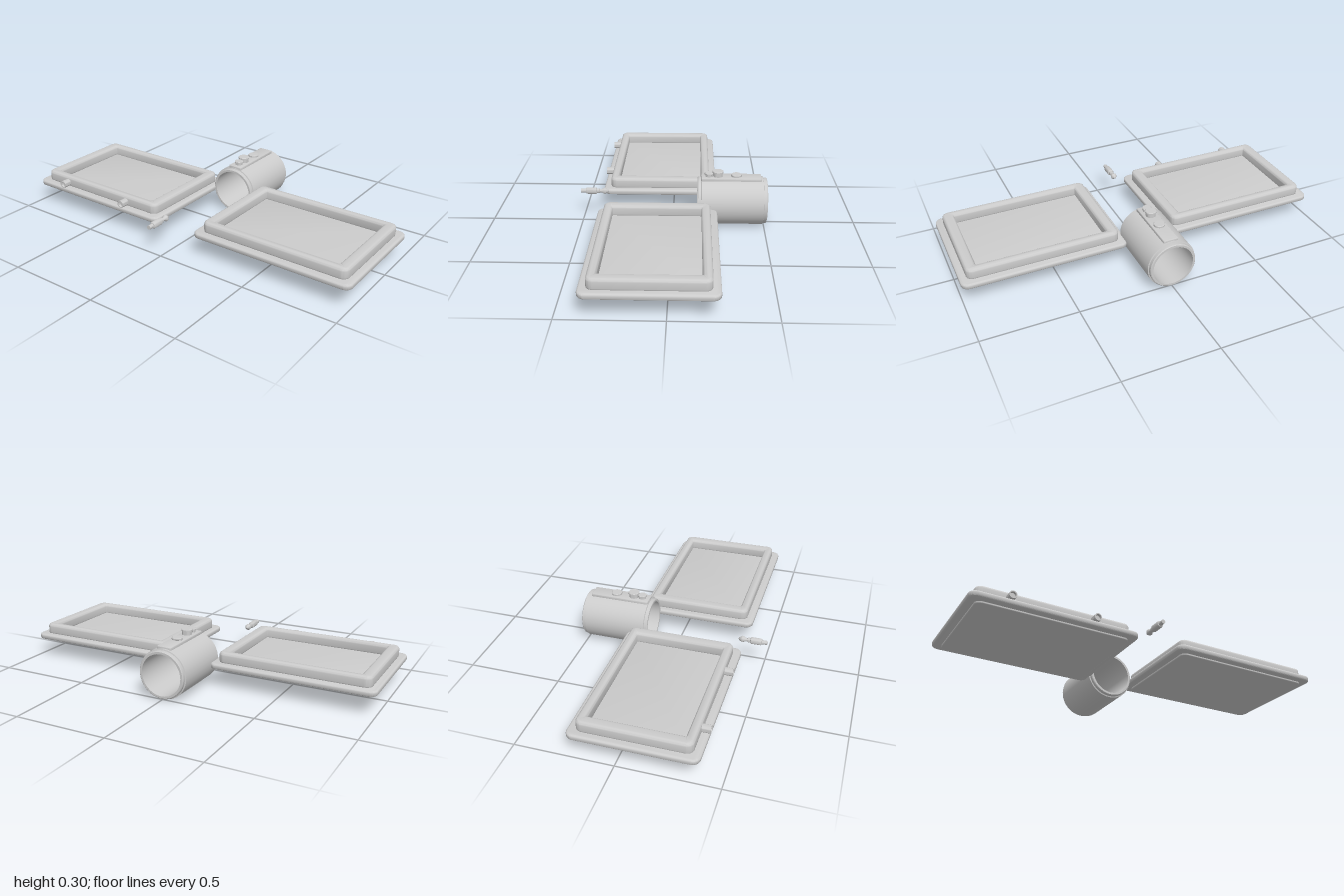
import * as THREE from 'three';
import { toCreasedNormals } from 'three/addons/utils/BufferGeometryUtils.js';

const material = new THREE.MeshStandardMaterial({ color: 0xcccccc });

function add(parent, name, geometry, x = 0, y = 0, z = 0) {
  const mesh = new THREE.Mesh(toCreasedNormals(geometry, 0.6), material);
  mesh.name = name;
  mesh.position.set(x, y, z);
  parent.add(mesh);
  return mesh;
}

function roundedRect(target, w, d, r) {
  const x = w / 2, y = d / 2, q = Math.PI / 2;
  target.absarc(x - r, y - r, r, 0, q);
  target.absarc(-x + r, y - r, r, q, 2 * q);
  target.absarc(-x + r, -y + r, r, 2 * q, 3 * q);
  target.absarc(x - r, -y + r, r, 3 * q, 4 * q);
  target.closePath();
  return target;
}

// Flat rounded slab lying in xz between y0 and y1, optionally with a window
function slab(w, d, r, y0, y1, bevel, hole) {
  const shape = roundedRect(new THREE.Shape(), w, d, r);
  if (hole) shape.holes.push(roundedRect(new THREE.Path(), hole[0], hole[1], 0.003));
  const g = new THREE.ExtrudeGeometry(shape, {
    depth: y1 - y0 - 2 * bevel, bevelEnabled: true, bevelThickness: bevel,
    bevelSize: bevel, bevelOffset: -bevel, bevelSegments: 4, curveSegments: 8,
  });
  return g.rotateX(-Math.PI / 2).translate(0, y0 + bevel, 0);
}

// Turned part whose axis runs along z; points are [radius, z]
function turnedZ(points, segments = 32) {
  const pts = points.map(([r, z]) => new THREE.Vector2(r, z));
  return new THREE.LatheGeometry(pts, segments).rotateX(Math.PI / 2);
}

function turnedY(points) {
  return new THREE.LatheGeometry(points.map(([r, y]) => new THREE.Vector2(r, y)), 32);
}

function makeTray(name) {
  const tray = new THREE.Group();
  tray.name = name;
  add(tray, 'trayFlange', slab(0.882, 0.635, 0.04, 0.1, 0.13, 0.01));
  add(tray, 'trayBase', slab(0.8, 0.556, 0.03, 0.09, 0.115, 0.004));
  add(tray, 'trayFrame', slab(0.81, 0.56, 0.035, 0.12, 0.184, 0.016, [0.69, 0.466]));
  return tray;
}

export function createModel() {
  const model = new THREE.Group();

  // Two matching trays either side of the sleeve
  for (const side of [-1, 1]) {
    const tray = makeTray(side < 0 ? 'rightTray' : 'leftTray');
    tray.position.set(side * 0.559, 0, 0.077);
    model.add(tray);
  }

  // Sockets on the front edge of the right tray
  for (const x of [-0.8, -0.36]) {
    add(model, 'socket', turnedZ([
      [0, 0.34], [0.02, 0.34], [0.02, 0.4], [0.015, 0.4], [0.015, 0.385], [0, 0.385],
    ]), x, 0.15, 0);
  }

  // Hollow sleeve with slightly narrower end collars
  add(model, 'sleeve', turnedZ([
    [0.11, -0.512], [0.121, -0.512], [0.125, -0.508], [0.125, -0.492],
    [0.131, -0.49], [0.131, -0.155], [0.125, -0.153], [0.125, -0.139],
    [0.121, -0.135], [0.11, -0.135], [0.11, -0.512],
  ], 64), 0, 0.131, 0);

  // Control strip with its buttons on top of the sleeve
  add(model, 'controlStrip', slab(0.08, 0.325, 0.006, 0.245, 0.271, 0.004), 0, 0, -0.318);
  const buttons = [
    ['frontButton', -0.197, 0.024, 0.292],
    ['middleKnob', -0.245, 0.03, 0.302],
    ['rearButton', -0.345, 0.029, 0.284],
  ];
  for (const [name, z, r, top] of buttons) {
    const neck = top - 0.011;
    add(model, name, turnedY([
      [0, 0.262], [r * 0.85, 0.262], [r * 0.85, neck - 0.002], [r, neck],
      [r, top - 0.003], [r - 0.003, top], [0, top],
    ]), 0, 0, z);
  }

  // Loose plug lying in front, tip pointing back
  add(model, 'plug', turnedZ([
    [0, 0.358], [0.006, 0.362], [0.017, 0.378], [0.017, 0.384], [0.009, 0.4],
    [0.009, 0.408], [0.013, 0.41], [0.013, 0.424], [0.018, 0.428], [0.018, 0.48],
    [0.015, 0.485], [0.011, 0.486], [0.011, 0.514], [0, 0.514],
  ], 24), -0.06, 0.15, 0);

  return model;
}
